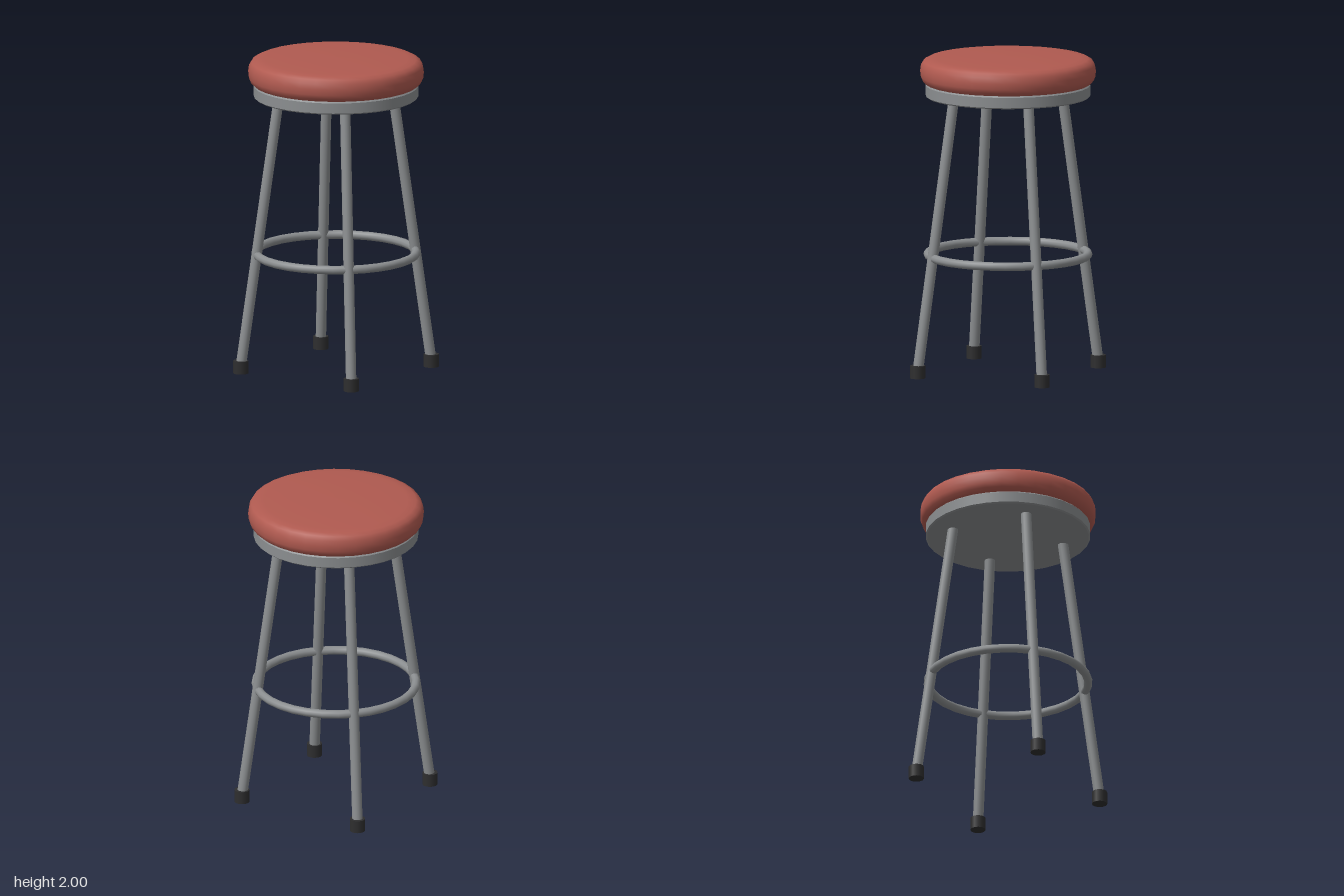
import * as THREE from 'three';

const mat = (name, color) => {
  const m = new THREE.MeshStandardMaterial({ color });
  m.name = name;
  return m;
};

export function createModel() {
  const stool = new THREE.Group();
  stool.name = 'barStool';
  const red = mat('redVinyl', 0xb05a50);
  const metal = mat('greyMetal', 0x8b8e90);
  const rubber = mat('blackRubber', 0x2e2e2f);

  const add = (name, geometry, material, parent = stool) => {
    const mesh = new THREE.Mesh(geometry, material);
    mesh.name = name;
    parent.add(mesh);
    return mesh;
  };
  const lathe = (pts) => new THREE.LatheGeometry(pts.map(([r, y]) => new THREE.Vector2(r, y)), 32);

  // Padded seat: rounded rim and a slightly domed top
  add('seatCushion', lathe([
    [0, 1.825], [0.5, 1.825], [0.515, 1.83], [0.535, 1.848], [0.546, 1.875], [0.548, 1.91],
    [0.543, 1.945], [0.528, 1.97], [0.5, 1.984], [0.45, 1.99], [0.3, 1.996], [0.15, 1.999], [0, 2],
  ]), red);

  // Metal band under the seat, with small bevels; corners doubled to stay sharp
  add('seatBand', lathe([
    [0, 1.745], [0.505, 1.745], [0.505, 1.745], [0.514, 1.753], [0.514, 1.753],
    [0.514, 1.818], [0.514, 1.818], [0.505, 1.827], [0.505, 1.827], [0, 1.827],
  ]), metal);

  // Round foot rest through the four legs
  const ring = add('footRing', new THREE.TorusGeometry(0.5, 0.027, 10, 32), metal);
  ring.rotation.x = Math.PI / 2;
  ring.position.y = 0.75;

  // Splayed legs with upright rubber feet
  const up = new THREE.Vector3(0, 1, 0);
  for (const sx of [1, -1]) {
    for (const sz of [1, -1]) {
      const leg = new THREE.Group();
      leg.name = (sz > 0 ? 'front' : 'back') + (sx > 0 ? 'Left' : 'Right') + 'Leg';
      stool.add(leg);
      const foot = new THREE.Vector3(sx * 0.425, 0.04, sz * 0.425);
      const top = new THREE.Vector3(sx * 0.253, 1.77, sz * 0.253);
      const dir = top.clone().sub(foot);
      const tube = add('legTube', new THREE.CylinderGeometry(0.033, 0.033, dir.length(), 16), metal, leg);
      tube.position.copy(foot).add(top).multiplyScalar(0.5);
      tube.quaternion.setFromUnitVectors(up, dir.normalize());
      const cap = add('rubberFoot', new THREE.CylinderGeometry(0.048, 0.048, 0.08, 12), rubber, leg);
      cap.position.copy(foot);
    }
  }
  return stool;
}
